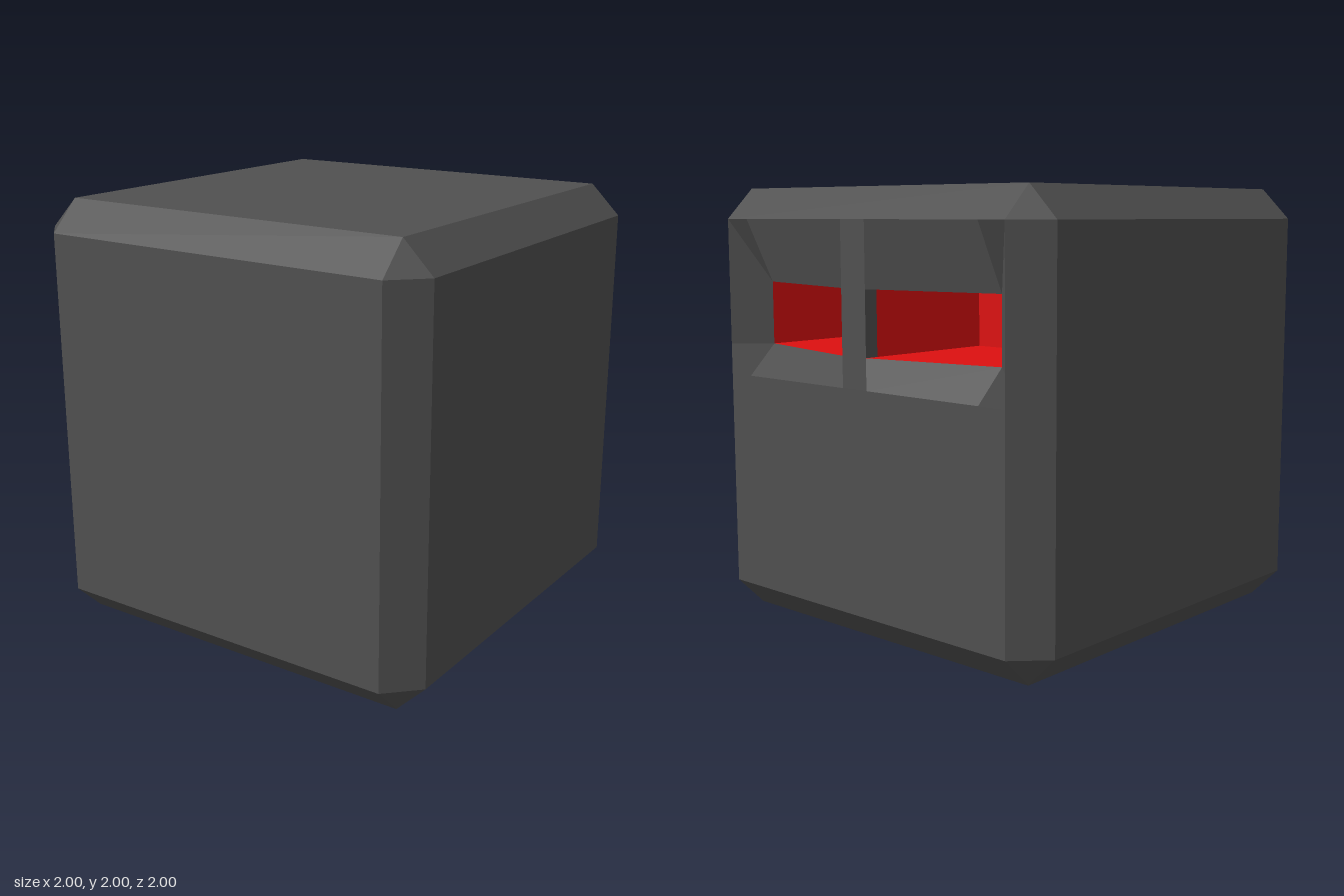
import * as THREE from 'three';

const E = 0.86;            // half width of the flat faces inside the bevel
const BAR = 0.075;         // half width of the bridge between the eyes
const OUT = 0.72;          // outer end of each eye
const LOW = 1.28, HIGH = 1.57;   // eye opening, bottom and top
const LIP = 1.14, BROW = 1.86;   // recess, bottom and top
const DEEP = -0.3;         // back wall of the eye sockets

// Flat-shaded surface from polygons { pts, toward, normal }; each faces "toward".
function surface(polys, material, name) {
  const pos = [], nor = [];
  for (const { pts, toward, normal } of polys) {
    const v = pts.map(p => new THREE.Vector3(...p));
    const n = new THREE.Vector3();
    v.forEach((a, i) => n.add(new THREE.Vector3().crossVectors(a, v[(i + 1) % v.length])));
    if (n.dot(new THREE.Vector3(...toward)) < 0) { v.reverse(); n.negate(); }
    if (normal) n.set(...normal);
    n.normalize();
    for (let i = 1; i < v.length - 1; i++) {
      for (const q of [v[0], v[i], v[i + 1]]) { pos.push(q.x, q.y, q.z); nor.push(n.x, n.y, n.z); }
    }
  }
  const g = new THREE.BufferGeometry();
  g.setAttribute('position', new THREE.Float32BufferAttribute(pos, 3));
  g.setAttribute('normal', new THREE.Float32BufferAttribute(nor, 3));
  const mesh = new THREE.Mesh(g, material);
  mesh.name = name;
  return mesh;
}

// Bevelled cube without its face at -z
function shellPolys() {
  const polys = [];
  const add = (pts, toward) => polys.push({ pts: pts.map(([x, y, z]) => [x, y + 1, z]), toward });
  // Point whose coordinates are given for axes a, a+1, a+2
  const at = (a, p, q, r) => { const o = []; o[a] = p; o[(a + 1) % 3] = q; o[(a + 2) % 3] = r; return o; };
  for (let a = 0; a < 3; a++) for (const s of [-1, 1]) {
    if (!(a === 2 && s === -1)) {
      add([at(a, s, -E, -E), at(a, s, E, -E), at(a, s, E, E), at(a, s, -E, E)], at(a, s, 0, 0));
    }
    // bevels running along axis a+2
    for (const t of [-1, 1]) {
      add([at(a, s, t * E, -E), at(a, s, t * E, E), at(a, s * E, t, E), at(a, s * E, t, -E)], at(a, s, t, 0));
    }
  }
  for (const x of [-1, 1]) for (const y of [-1, 1]) for (const z of [-1, 1]) {
    add([[x, y * E, z * E], [x * E, y, z * E], [x * E, y * E, z]], [x, y, z]);
  }
  return polys;
}

// Face at -z: flat cheek, bridge, and slanted brows, lips and outer walls
function facePolys() {
  const back = [0, 0, -1];
  const polys = [
    { pts: [[-E, 0.14, -1], [E, 0.14, -1], [E, LIP, -1], [-E, LIP, -1]], toward: back },
    { pts: [[-BAR, LIP, -1], [BAR, LIP, -1], [BAR, BROW, -1], [-BAR, BROW, -1]], toward: back },
  ];
  for (const s of [-1, 1]) {
    const add = (pts, normal) => polys.push({ pts: pts.map(([x, y, z]) => [s * x, y, z]), toward: back, normal });
    const cTop = [OUT, HIGH, -E], cLow = [OUT, LOW, -E];
    add([[BAR, BROW, -1], [OUT, BROW, -1], cTop, [BAR, HIGH, -1]]);           // brow
    add([[OUT, BROW, -1], [E, BROW, -1], cTop]);                              // brow corner
    add([[E, BROW, -1], [E, HIGH, -1], cTop]);                                // outer wall
    add([[E, HIGH, -1], [E, LOW, -1], cLow, cTop]);
    add([[BAR, LIP, -1], [OUT, LIP, -1], cLow, [BAR, LOW, -1]]);              // lip
    add([[E, LIP, -1], [E, LOW, -1], cLow, [OUT, LIP, -1]], back);            // lip corner
    // side of the bridge
    polys.push({
      pts: [[s * BAR, LOW, -1], [s * BAR, HIGH, -1], [s * BAR, HIGH, -0.935], [s * BAR, LOW, -0.935]],
      toward: [s, 0, 0],
    });
  }
  return polys;
}

// Inside of one eye socket
function socketPolys(s) {
  const wall = (pts, toward) => ({ pts: pts.map(([x, y, z]) => [s * x, y, z]), toward });
  const level = y => [[BAR, y, -1], [OUT, y, -E], [OUT, y, DEEP], [BAR, y, DEEP]];
  const side = (x, z) => [[x, LOW, z], [x, HIGH, z], [x, HIGH, DEEP], [x, LOW, DEEP]];
  return [
    wall(level(LOW), [0, 1, 0]),
    wall(level(HIGH), [0, -1, 0]),
    wall(side(BAR, -0.935), [s, 0, 0]),
    wall(side(OUT, -E), [-s, 0, 0]),
    wall([[BAR, LOW, DEEP], [OUT, LOW, DEEP], [OUT, HIGH, DEEP], [BAR, HIGH, DEEP]], [0, 0, -1]),
  ];
}

export function createModel() {
  const gray = new THREE.MeshStandardMaterial({ color: 0x505050 });
  gray.name = 'dark gray';
  const red = new THREE.MeshStandardMaterial({ color: 0xdd1010 });
  red.name = 'eye red';

  const model = new THREE.Group();
  model.name = 'bevelledCubeHead';
  model.add(
    surface(shellPolys(), gray, 'shell'),
    surface(facePolys(), gray, 'face'),
    surface(socketPolys(1), red, 'leftEye'),
    surface(socketPolys(-1), red, 'rightEye'),
  );
  return model;
}
